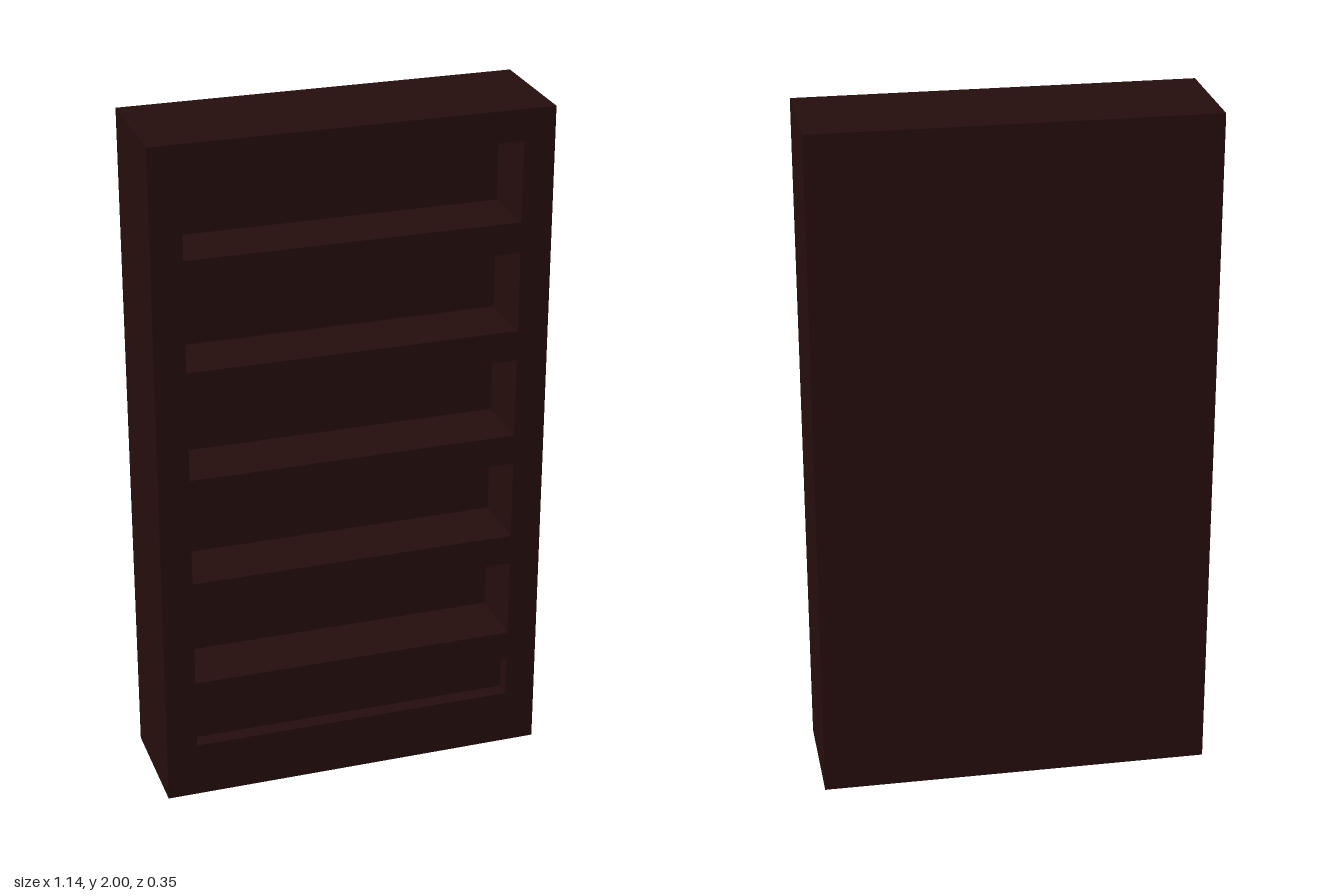
import * as THREE from 'three';

export function createModel() {
  const group = new THREE.Group();
  group.name = 'bookcase';
  const wood = new THREE.MeshStandardMaterial({ color: 0x240d0c });
  wood.name = 'dark wood';

  const W = 0.57, H = 2, D = 0.173; // half width, height, half depth
  const inner = 0.48;               // half width of the openings
  const backZ = D - 0.19;           // rear wall of the openings

  // Box given by its lower and upper corners
  function box(name, x0, x1, y0, y1, z0, z1) {
    const mesh = new THREE.Mesh(new THREE.BoxGeometry(x1 - x0, y1 - y0, z1 - z0), wood);
    mesh.position.set((x0 + x1) / 2, (y0 + y1) / 2, (z0 + z1) / 2);
    mesh.name = name;
    group.add(mesh);
  }

  // Thick back and the two side posts
  box('back', -W, W, 0, H, -D, backZ);
  box('leftSide', inner, W, 0, H, backZ, D);
  box('rightSide', -W, -inner, 0, H, backZ, D);

  // Base, evenly spaced shelves and top
  box('base', -inner, inner, 0, 0.165, backZ, D);
  for (let i = 0; i < 5; i++) {
    const y = 0.285 + i * 0.325;
    box('shelf' + (i + 1), -inner, inner, y, y + 0.09, backZ, D);
  }
  box('top', -inner, inner, 1.91, H, backZ, D);

  // Shallow inset panel closing the lowest opening
  box('lowerPanel', -inner, inner, 0.165, 0.285, backZ, D - 0.045);

  return group;
}
